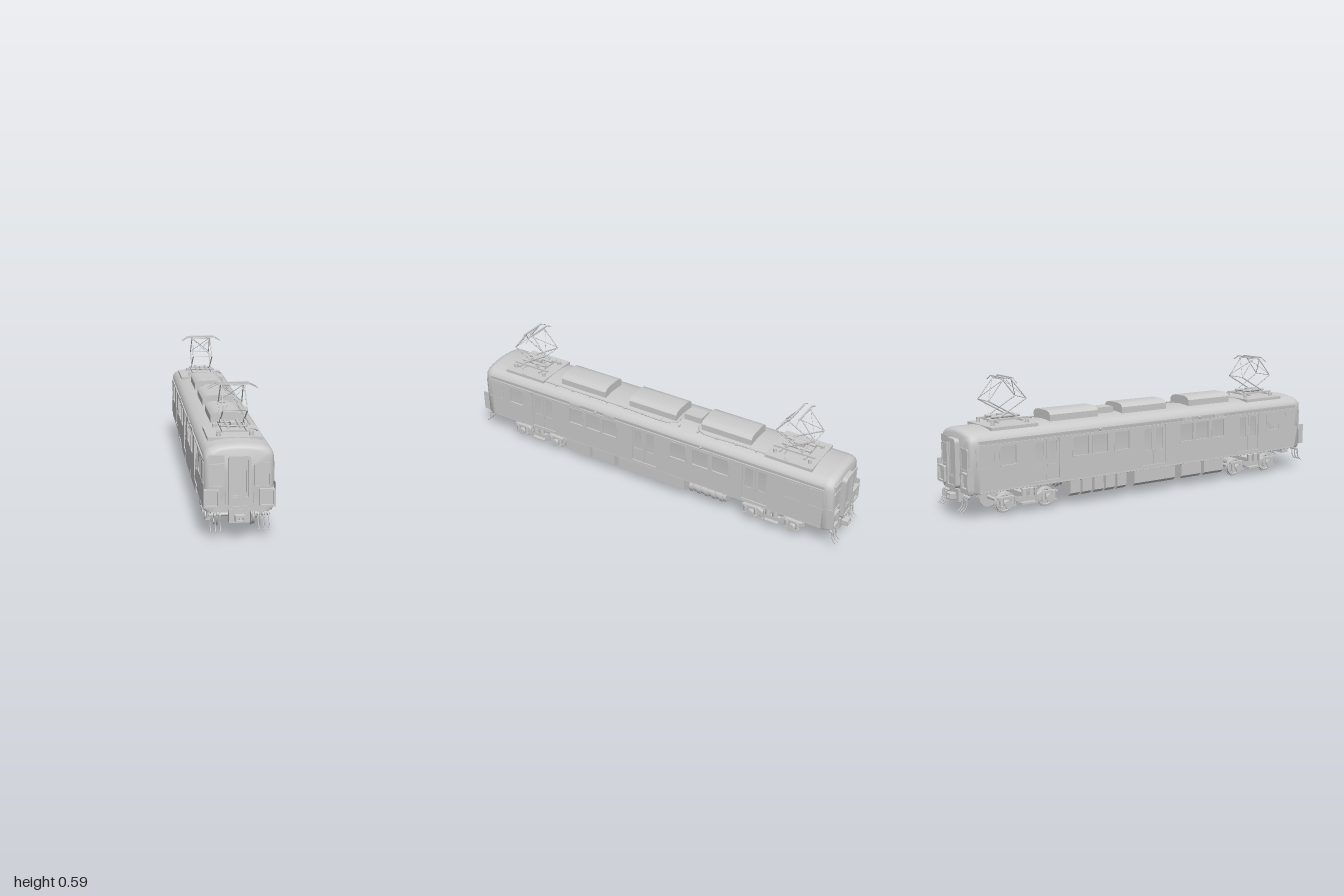
import * as THREE from 'three';
import { toCreasedNormals } from 'three/addons/utils/BufferGeometryUtils.js';

const mat = new THREE.MeshStandardMaterial({ color: 0xcccccc });
const V = (x, y, z) => new THREE.Vector3(x, y, z);

function add(parent, name, geo, x = 0, y = 0, z = 0) {
  const m = new THREE.Mesh(geo, mat);
  m.name = name;
  m.position.set(x, y, z);
  parent.add(m);
  return m;
}
const box = (p, n, w, h, d, x, y, z) => add(p, n, new THREE.BoxGeometry(w, h, d), x, y, z);
function rod(p, n, a, b, r = 0.002, sides = 6) {
  const m = add(p, n, new THREE.CylinderGeometry(r, r, a.distanceTo(b), sides));
  m.position.copy(a).add(b).multiplyScalar(0.5);
  m.quaternion.setFromUnitVectors(V(0, 1, 0), b.clone().sub(a).normalize());
  return m;
}
const tube = (p, n, pts, r, seg = 24) =>
  add(p, n, new THREE.TubeGeometry(new THREE.CatmullRomCurve3(pts, false, 'centripetal'), seg, r, 6));
const group = (p, n) => { const g = new THREE.Group(); g.name = n; p.add(g); return g; };
const extrude = (s, depth) => new THREE.ExtrudeGeometry(s, { depth, bevelEnabled: false, curveSegments: 5 });

// Rounded rectangle outline between two corners
function rrect(x0, y0, x1, y1, r, C = THREE.Shape) {
  const s = new C(), q = Math.PI / 2;
  s.absarc(x1 - r, y0 + r, r, -q, 0);
  s.absarc(x1 - r, y1 - r, r, 0, q);
  s.absarc(x0 + r, y1 - r, r, q, 2 * q);
  s.absarc(x0 + r, y0 + r, r, 2 * q, 3 * q);
  s.closePath();
  return s;
}
function ring(x0, y0, x1, y1, r, t, depth) {
  const s = rrect(x0, y0, x1, y1, r);
  s.holes.push(rrect(x0 + t, y0 + t, x1 - t, y1 - t, Math.max(r - t, 0.001), THREE.Path));
  return extrude(s, depth);
}

// Body shell: cross-sections lofted along z; sides sit back behind the wall plates
function bodyGeometry() {
  const half = [[0.125, 0.112], [0.138, 0.116], [0.143, 0.125], [0.143, 0.325], [0.141, 0.342], [0.134, 0.357],
    [0.12, 0.369], [0.09, 0.379], [0.05, 0.385], [0, 0.388]];
  const prof = [...half, ...half.slice(0, -1).reverse().map(([x, y]) => [-x, y])];
  const ends = [[0.915, 0, 0.137], [0.915, 0, 1], [0.93, 0.001, 1], [0.945, 0.006, 1], [0.953, 0.013, 1], [0.957, 0.022, 1]];
  const secs = [...ends.map(([z, d, c]) => [-z, d, c]).reverse(), ...ends];
  const pos = [], idx = [], n = prof.length;
  for (const [z, d, clip] of secs) for (const [x, y] of prof) {
    const wall = y > 0.12 && y < 0.33 ? clip : 1;
    pos.push(Math.sign(x) * Math.min(Math.abs(x), wall) * (1 - d / 0.143), y - d * 0.9 * (y - 0.112) / 0.276, z);
  }
  for (let i = 0; i < secs.length - 1; i++) for (let j = 0; j < n; j++) {
    const k = (j + 1) % n, a = i * n + j, b = i * n + k;
    idx.push(a, b, b + n, a, b + n, a + n);
  }
  const c = pos.length / 3, last = (secs.length - 1) * n;
  pos.push(0, 0.25, -0.957, 0, 0.25, 0.957);
  for (let j = 0; j < n; j++) {
    const k = (j + 1) % n;
    idx.push(c, k, j, c + 1, last + j, last + k);
  }
  const g = new THREE.BufferGeometry();
  g.setAttribute('position', new THREE.Float32BufferAttribute(pos, 3));
  g.setIndex(idx);
  return toCreasedNormals(g, 0.6);
}

// Side wall with window and door openings
const doors = [0.595, 0.005, -0.585];
const windows = [[0.89, 0.09], [0.76, 0.085], [0.395, 0.085], [0.295, 0.085], [0.2, 0.085],
  [-0.18, 0.09], [-0.3, 0.09], [-0.405, 0.09], [-0.775, 0.085], [-0.885, 0.09]];
function sideWall(body, s) {
  const g = group(body, s > 0 ? 'leftWall' : 'rightWall');
  g.rotation.y = s * Math.PI / 2;
  g.position.x = s * 0.137;
  const wall = rrect(-0.915, 0.125, 0.915, 0.325, 0.0005);
  for (const z of doors) wall.holes.push(rrect(-s * z - 0.067, 0.135, -s * z + 0.067, 0.322, 0.004, THREE.Path));
  for (const [z, w] of windows) {
    const u = -s * z;
    wall.holes.push(rrect(u - w / 2, 0.224, u + w / 2, 0.316, 0.006, THREE.Path));
    add(g, 'windowFrame', ring(u - w / 2, 0.224, u + w / 2, 0.316, 0.006, 0.004, 0.0075));
  }
  add(g, 'wallPanel', extrude(wall, 0.006));
  for (const z of doors) for (const k of [-1, 1]) {
    const u = -s * z + k * 0.0335;
    const leaf = rrect(u - 0.032, 0.137, u + 0.032, 0.32, 0.002);
    leaf.holes.push(rrect(u - 0.02, 0.205, u + 0.02, 0.308, 0.004, THREE.Path));
    add(g, 'doorLeaf', extrude(leaf, 0.0025));
    box(g, 'doorHandle', 0.003, 0.012, 0.003, u - k * 0.025, 0.2, 0.003);
  }
  for (const z of [0.4, 0.2]) box(g, 'sideSign', 0.06, 0.014, 0.008, -s * z, 0.334, 0.004);
  for (const z of [0.28, -0.3]) add(g, 'sideLamp', new THREE.SphereGeometry(0.006, 8, 6), -s * z, 0.335, 0.006);
}

// Cab end, built at +z
function cabEnd(root, name) {
  const g = group(root, name), F = 0.955;
  add(g, 'gangwayFrame', ring(-0.045, 0.13, 0.045, 0.345, 0.018, 0.012, 0.024), 0, 0, F);
  box(g, 'gangwayDoor', 0.07, 0.2, 0.014, 0, 0.237, F + 0.005);
  box(g, 'doorSill', 0.07, 0.045, 0.012, 0, 0.155, F + 0.012);
  add(g, 'doorPane', ring(-0.031, 0.178, 0.031, 0.332, 0.006, 0.005, 0.004), 0, 0, F + 0.012);
  box(g, 'doorKnob', 0.004, 0.012, 0.006, 0.035, 0.215, F + 0.022);
  box(g, 'signBox', 0.062, 0.03, 0.012, -0.091, 0.331, F);
  for (const s of [-1, 1]) {
    add(g, 'cabWindowFrame', ring(-0.032, 0.215, 0.032, 0.311, 0.008, 0.004, 0.007), s * 0.091, 0, F);
    add(g, 'cabWindow', extrude(rrect(-0.03, 0.217, 0.03, 0.309, 0.007), 0.003), s * 0.091, 0, F);
    // corner lamp housing wrapping round the side
    add(g, 'lampHousing', ring(-0.032, 0.135, 0.032, 0.208, 0.004, 0.008, 0.024), s * 0.111, 0, 0.95);
    box(g, 'lampPanel', 0.056, 0.06, 0.012, s * 0.111, 0.172, 0.956);
    box(g, 'cornerPlate', 0.003, 0.1, 0.03, s * 0.143, 0.185, 0.958);
    rod(g, 'handrail', V(s * 0.056, 0.15, 0.965), V(s * 0.056, 0.2, 0.965));
    for (const x of [0.077, 0.097, 0.117]) {
      add(g, 'hoseCock', new THREE.SphereGeometry(0.007, 8, 6), s * x, 0.102, 0.955);
      tube(g, 'jumperHose', [V(s * x, 0.115, 0.94), V(s * x, 0.1, 0.962), V(s * x, 0.07, 0.965),
        V(s * x, 0.05, 0.975), V(s * x, 0.042, 0.988)], 0.0028, 10);
    }
  }
  box(g, 'couplerPocket', 0.084, 0.055, 0.04, 0, 0.098, 0.946);
  box(g, 'couplerShank', 0.02, 0.018, 0.04, 0, 0.092, 0.965);
  add(g, 'couplerHead', ring(-0.02, 0.079, 0.02, 0.107, 0.003, 0.008, 0.03), 0, 0, 0.965);
  add(g, 'couplerCone', new THREE.ConeGeometry(0.009, 0.03, 8).rotateX(Math.PI / 2), 0, 0.093, 0.985);
  return g;
}

function bogie(root, z, name) {
  const g = group(root, name);
  g.position.z = z;
  box(g, 'bolster', 0.2, 0.022, 0.06, 0, 0.075, 0);
  add(g, 'centrePivot', new THREE.CylinderGeometry(0.03, 0.03, 0.04, 12), 0, 0.1, 0);
  const frame = new THREE.Shape([[-0.15, 0.068], [-0.15, 0.078], [-0.07, 0.08], [-0.045, 0.068], [0.045, 0.068], [0.07, 0.08],
    [0.15, 0.078], [0.15, 0.068], [0.08, 0.064], [0.05, 0.046], [-0.05, 0.046], [-0.08, 0.064]].map(p => new THREE.Vector2(...p)));
  for (const s of [-1, 1]) {
    add(g, 'sideFrame', extrude(frame, 0.016).rotateY(Math.PI / 2), s * 0.103 - 0.008, 0, 0);
    for (const k of [-1, 1]) {
      add(g, 'bolsterSpring', new THREE.CylinderGeometry(0.014, 0.014, 0.035, 10), s * 0.105, 0.086, k * 0.018);
    }
    box(g, 'springPlank', 0.03, 0.008, 0.08, s * 0.11, 0.04, 0);
    rod(g, 'damper', V(s * 0.122, 0.045, 0.03), V(s * 0.122, 0.105, 0.03), 0.005, 8);
  }
  for (const k of [-1, 1]) {
    const a = k * 0.105;
    rod(g, 'axle', V(-0.115, 0.046, a), V(0.115, 0.046, a), 0.008, 10);
    rod(g, 'tractionMotor', V(-0.045, 0.055, a - k * 0.045), V(0.035, 0.055, a - k * 0.045), 0.024, 12);
    for (const s of [-1, 1]) {
      const prof = [[0, -0.008], [0.012, -0.008], [0.014, -0.003], [0.032, -0.003], [0.034, -0.007], [0.042, -0.007],
        [0.042, 0.003], [0.046, 0.005], [0.046, 0.008], [0.014, 0.007], [0, 0.008]].map(p => new THREE.Vector2(...p));
      const w = add(g, 'wheel', toCreasedNormals(new THREE.LatheGeometry(prof, 24), 0.5), s * 0.077, 0.046, a);
      w.rotation.z = s * Math.PI / 2;
      rod(g, 'axleBox', V(s * 0.088, 0.046, a), V(s * 0.122, 0.046, a), 0.019, 12);
      for (const d of [-0.027, 0.027]) {
        add(g, 'axleSpring', new THREE.CylinderGeometry(0.01, 0.01, 0.036, 8), s * 0.107, 0.057, a + d);
      }
      box(g, 'springSeat', 0.024, 0.007, 0.074, s * 0.107, 0.037, a);
      box(g, 'brakeShoe', 0.016, 0.03, 0.008, s * 0.077, 0.05, a - k * 0.051);
    }
  }
}

// Underfloor cases with a chamfered outer lower edge
function underfloor(root) {
  const g = group(root, 'underfloorEquipment');
  const cases = [[1, 0.33, 0.47, 0.03], [1, 0.185, 0.315, 0.04], [1, -0.21, 0.16, 0.04], [-1, 0.32, 0.44, 0.05],
    [-1, 0.18, 0.3, 0.06], [-1, -0.1, 0.14, 0.04]];
  for (let i = 0; i < 5; i++) cases.push([-1, -0.455 + i * 0.064, -0.403 + i * 0.064, 0.06]);
  for (const [s, z0, z1, inner] of cases) {
    const pts = [[inner, 0.114], [inner, 0.04], [0.112, 0.04], [0.131, 0.055], [0.131, 0.114]];
    add(g, 'equipmentCase', extrude(new THREE.Shape(pts.map(([x, y]) => new THREE.Vector2(s * x, y))), z1 - z0), 0, 0, z0);
  }
  rod(g, 'airTank', V(0.09, 0.078, -0.43), V(0.09, 0.078, -0.235), 0.032, 16);
  for (let i = 0; i < 5; i++) rod(g, 'tankBand', V(0.09, 0.078, -0.415 + i * 0.04), V(0.09, 0.078, -0.395 + i * 0.04), 0.037, 16);
  box(g, 'tankHanger', 0.06, 0.02, 0.19, 0.09, 0.11, -0.335);
}

// Diamond pantograph on its roof platform
function pantograph(root, z, name) {
  const g = group(root, name);
  g.position.z = z;
  box(g, 'platform', 0.225, 0.014, 0.23, -0.002, 0.383, 0);
  for (const s of [-1, 1]) {
    box(g, 'baseRail', 0.008, 0.008, 0.2, s * 0.05, 0.41, 0);
    box(g, 'crossRail', 0.15, 0.008, 0.01, 0, 0.404, s * 0.06);
    rod(g, 'pivotShaft', V(-0.055, 0.42, s * 0.04), V(0.055, 0.42, s * 0.04), 0.004);
    rod(g, 'spring', V(s * 0.026, 0.42, -0.07), V(s * 0.026, 0.42, 0.07), 0.007, 8);
    rod(g, 'elbowBar', V(-0.052, 0.495, s * 0.093), V(0.052, 0.495, s * 0.093));
    rod(g, 'topBar', V(-0.05, 0.585, s * 0.018), V(0.05, 0.585, s * 0.018));
    for (const k of [-1, 1]) {
      add(g, 'insulator', new THREE.CylinderGeometry(0.008, 0.01, 0.02, 8), s * 0.067, 0.397, k * 0.085);
      rod(g, 'lowerArm', V(s * 0.05, 0.42, -k * 0.04), V(s * 0.05, 0.495, k * 0.093), 0.003);
      rod(g, 'upperArm', V(s * 0.05, 0.495, k * 0.093), V(s * 0.047, 0.585, k * 0.018), 0.0025);
      rod(g, 'diagonalBrace', V(s * 0.05, 0.498, k * 0.093), V(-s * 0.047, 0.58, k * 0.022), 0.0015);
      rod(g, 'contactHorn', V(k * 0.068, 0.591, s * 0.018), V(k * 0.103, 0.572, s * 0.018));
    }
    box(g, 'contactStrip', 0.138, 0.005, 0.008, 0, 0.591, s * 0.018);
  }
  box(g, 'springBox', 0.02, 0.02, 0.05, 0, 0.42, 0);
  tube(g, 'cable', [V(0.05, 0.405, 0.03), V(0.085, 0.405, 0.03), V(0.1, 0.395, 0.02), V(0.1, 0.385, -0.02)], 0.003, 10);
}

function roofGear(root) {
  const g = group(root, 'roofEquipment');
  const side = new THREE.Shape([[-0.071, 0.375], [0.071, 0.375], [0.071, 0.411], [0.06, 0.423], [0.035, 0.429],
    [-0.035, 0.429], [-0.06, 0.423], [-0.071, 0.411]].map(p => new THREE.Vector2(...p)));
  for (const z of [0.395, 0, -0.393]) {
    add(g, 'airConditioner', toCreasedNormals(extrude(side, 0.258), 0.7), 0, 0, z - 0.129);
  }
  box(g, 'roofBox', 0.07, 0.035, 0.09, 0.003, 0.397, -0.2);
  tube(g, 'conduit', [V(0.02, 0.4, -0.145), V(0.08, 0.39, -0.145), V(0.095, 0.383, -0.12), V(0.095, 0.383, 0.2), V(0.095, 0.383, 0.62)], 0.004);
  tube(g, 'conduit', [V(0.03, 0.4, -0.255), V(0.08, 0.39, -0.255), V(0.095, 0.383, -0.28), V(0.095, 0.383, -0.45), V(0.095, 0.383, -0.62)], 0.004);
  for (let z = -0.56; z < 0.6; z += 0.1) box(g, 'conduitClip', 0.014, 0.008, 0.008, 0.095, 0.38, z);
}

export function createModel() {
  const root = new THREE.Group();
  root.name = 'electricRailcar';
  const body = group(root, 'carBody');
  add(body, 'shell', bodyGeometry());
  for (const s of [1, -1]) {
    sideWall(body, s);
    bogie(root, s * 0.66, s > 0 ? 'frontBogie' : 'rearBogie');
    pantograph(root, s * 0.723, s > 0 ? 'frontPantograph' : 'rearPantograph');
  }
  cabEnd(root, 'frontCab');
  cabEnd(root, 'rearCab').rotation.y = Math.PI;
  underfloor(root);
  roofGear(root);
  return root;
}
